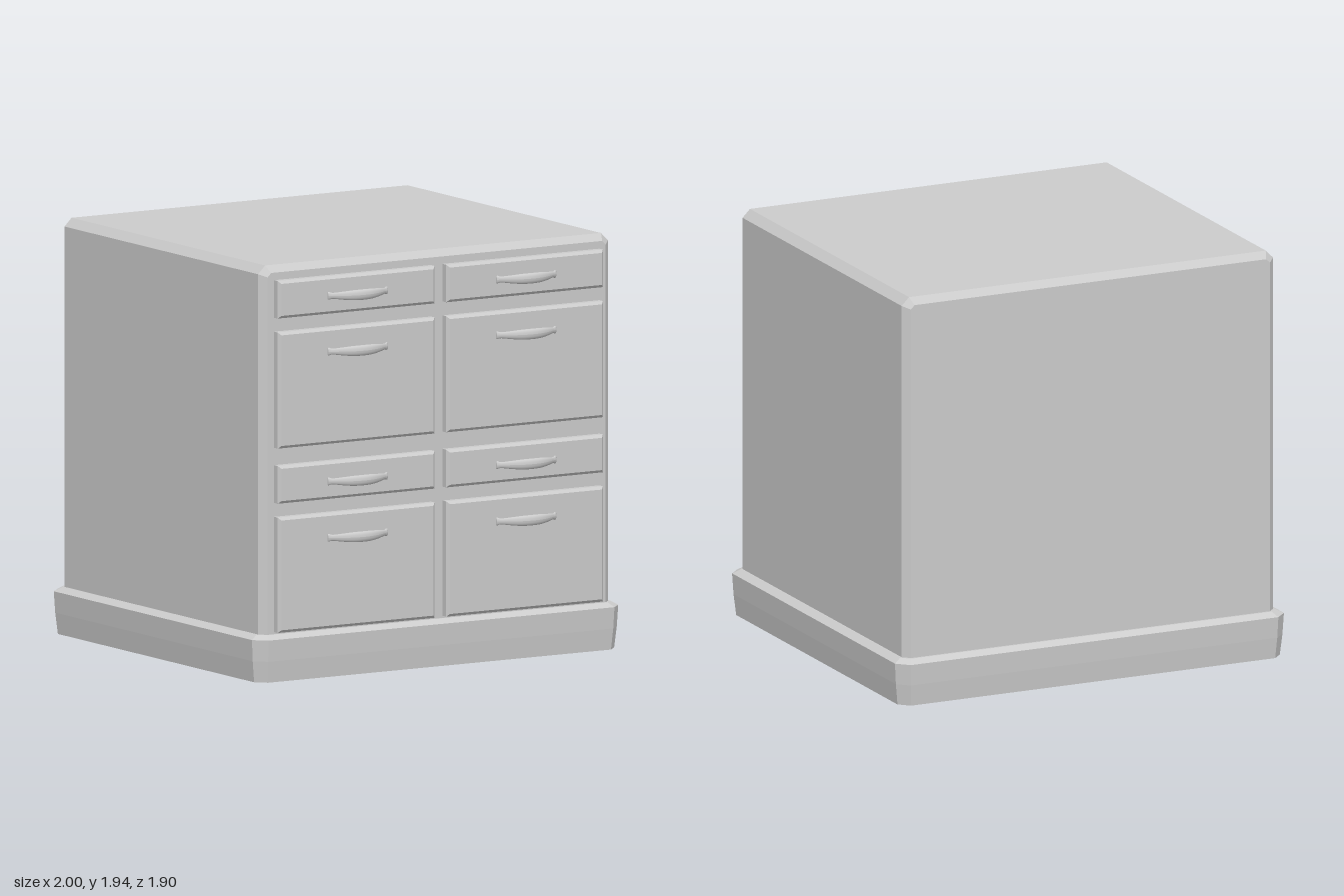
import * as THREE from 'three';
import { ConvexGeometry } from 'three/addons/geometries/ConvexGeometry.js';

const material = new THREE.MeshStandardMaterial({ color: 0xcccccc });

function addMesh(parent, name, geometry, x = 0, y = 0, z = 0) {
  const mesh = new THREE.Mesh(geometry, material);
  mesh.name = name;
  mesh.position.set(x, y, z);
  parent.add(mesh);
  return mesh;
}

// Corners of a rectangle with its corners cut off, counter-clockwise
function cutRectangle(hx, hy, cut) {
  return [
    [hx - cut, -hy], [hx, -hy + cut], [hx, hy - cut], [hx - cut, hy],
    [-hx + cut, hy], [-hx, hy - cut], [-hx, -hy + cut], [-hx + cut, -hy],
  ].map(([x, y]) => new THREE.Vector2(x, y));
}

// Plinth: stacked eight-sided rings, narrowing to the floor, sloped on top
function plinthGeometry() {
  const rings = [[0, 0.017], [0.1, 0.006], [0.2, 0], [0.22, 0.035]];
  const points = [];
  for (const [y, inset] of rings) {
    for (const p of cutRectangle(1 - inset, 0.918 - inset, 0.055 - inset * 0.5)) {
      points.push(new THREE.Vector3(p.x, y, p.y));
    }
  }
  return new ConvexGeometry(points);
}

// Carcass: cut-corner front outline, bevelled at front and back
function carcassGeometry() {
  const bevel = 0.032, depth = 1.75;
  const shape = new THREE.Shape(cutRectangle(0.955, 0.9, 0.038));
  const geometry = new THREE.ExtrudeGeometry(shape, {
    depth: depth - 2 * bevel, bevelThickness: bevel, bevelSize: bevel,
    bevelOffset: -bevel, bevelSegments: 1,
  });
  return geometry.translate(0, 0, bevel - depth / 2);
}

// Drawer front: slab whose front face is set in by a narrow bevel
function drawerGeometry(width, height) {
  const points = [];
  for (const [z, inset] of [[-0.01, 0], [0.031, 0], [0.044, 0.013]]) {
    for (const sx of [-1, 1]) for (const sy of [-1, 1]) {
      points.push(new THREE.Vector3(sx * (width / 2 - inset), sy * (height / 2 - inset), z));
    }
  }
  return new ConvexGeometry(points);
}

// Handle: turned bar with flared ends, flattened and bowed forward
function handleGeometry() {
  const half = 0.163;
  const outline = new THREE.SplineCurve([
    [0.019, -1], [0.018, -0.95], [0.014, -0.86], [0.019, -0.6], [0.024, -0.25],
    [0.024, 0.25], [0.019, 0.6], [0.014, 0.86], [0.018, 0.95], [0.019, 1],
  ].map(([r, t]) => new THREE.Vector2(r, t * half))).getPoints(36);
  const profile = [new THREE.Vector2(0, -half), ...outline, new THREE.Vector2(0, half)];
  const geometry = new THREE.LatheGeometry(profile, 16).rotateZ(-Math.PI / 2);
  const pos = geometry.attributes.position;
  for (let i = 0; i < pos.count; i++) {
    const t = pos.getX(i) / half;
    pos.setZ(i, pos.getZ(i) * 0.55 + 0.056 * (1 - t * t));
  }
  geometry.computeVertexNormals();
  return geometry;
}

export function createModel() {
  const model = new THREE.Group();
  model.name = 'drawerCabinet';

  addMesh(model, 'plinth', plinthGeometry(), 0, 0, -0.032);
  addMesh(model, 'carcass', carcassGeometry(), 0, 1.045, -0.03);

  // Two columns of four drawers: bottom, top and handle height of each row
  const rows = [
    [0.23, 0.77, 0.655],
    [0.835, 1.012, 0.919],
    [1.093, 1.637, 1.527],
    [1.702, 1.878, 1.788],
  ];
  const handle = handleGeometry();
  for (const [bottom, top, handleY] of rows) {
    const front = drawerGeometry(0.856, top - bottom);
    const middle = (bottom + top) / 2;
    for (const side of [-1, 1]) {
      const drawer = new THREE.Group();
      drawer.name = 'drawer';
      drawer.position.set(side * 0.46, middle, 0.845);
      addMesh(drawer, 'drawerFront', front);
      addMesh(drawer, 'handle', handle, 0, handleY - middle, 0.039);
      model.add(drawer);
    }
  }
  return model;
}
